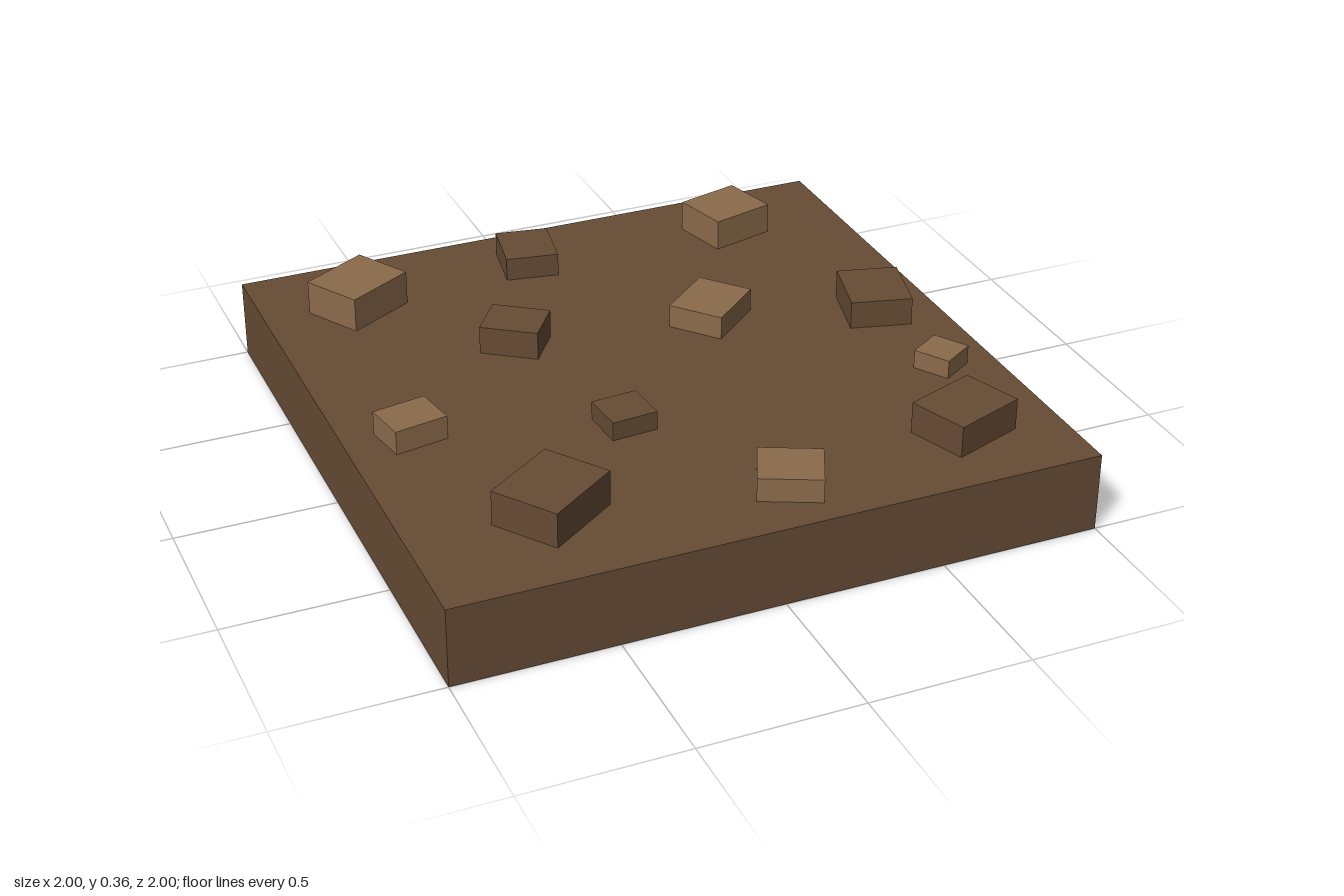
import * as THREE from 'three';

const SLAB_HEIGHT = 0.25;

// x, z, width, depth, height, turn about y
const lightClods = [
  [-0.70, -0.70, 0.24, 0.20, 0.11, 0.52],
  [0.60, -0.75, 0.215, 0.19, 0.10, 0.26],
  [0.30, -0.20, 0.215, 0.18, 0.075, 0.70],
  [-0.80, 0.12, 0.17, 0.14, 0.075, 0.18],
  [0.825, 0.35, 0.12, 0.12, 0.06, 0.56],
  [0.10, 0.80, 0.19, 0.17, 0.075, -0.44],
];
const darkClods = [
  [-0.10, -0.775, 0.17, 0.195, 0.075, -0.17],
  [-0.325, -0.28, 0.185, 0.155, 0.09, -0.62],
  [0.80, -0.05, 0.195, 0.22, 0.09, -0.25],
  [-0.20, 0.30, 0.145, 0.14, 0.06, 0.08],
  [-0.575, 0.675, 0.265, 0.22, 0.11, 0.61],
  [0.70, 0.72, 0.24, 0.195, 0.10, 0.35],
];

export function createModel() {
  const model = new THREE.Group();
  model.name = 'soilTile';

  const soil = new THREE.MeshStandardMaterial({ color: 0x664c35 });
  soil.name = 'dark soil';
  const drySoil = new THREE.MeshStandardMaterial({ color: 0x8b6b4b });
  drySoil.name = 'light soil';

  function addBox(name, material, w, h, d, x, bottom, z, turn = 0) {
    const mesh = new THREE.Mesh(new THREE.BoxGeometry(w, h, d), material);
    mesh.name = name;
    mesh.position.set(x, bottom + h / 2, z);
    mesh.rotation.y = turn;
    model.add(mesh);
  }

  // Ground slab
  addBox('groundSlab', soil, 2, SLAB_HEIGHT, 2, 0, 0, 0);

  // Clods of earth scattered on top
  const scatter = (name, list, material) => list.forEach(([x, z, w, d, h, turn], i) =>
    addBox(`${name}${i + 1}`, material, w, h, d, x, SLAB_HEIGHT, z, turn));
  scatter('lightClod', lightClods, drySoil);
  scatter('darkClod', darkClods, soil);

  return model;
}
